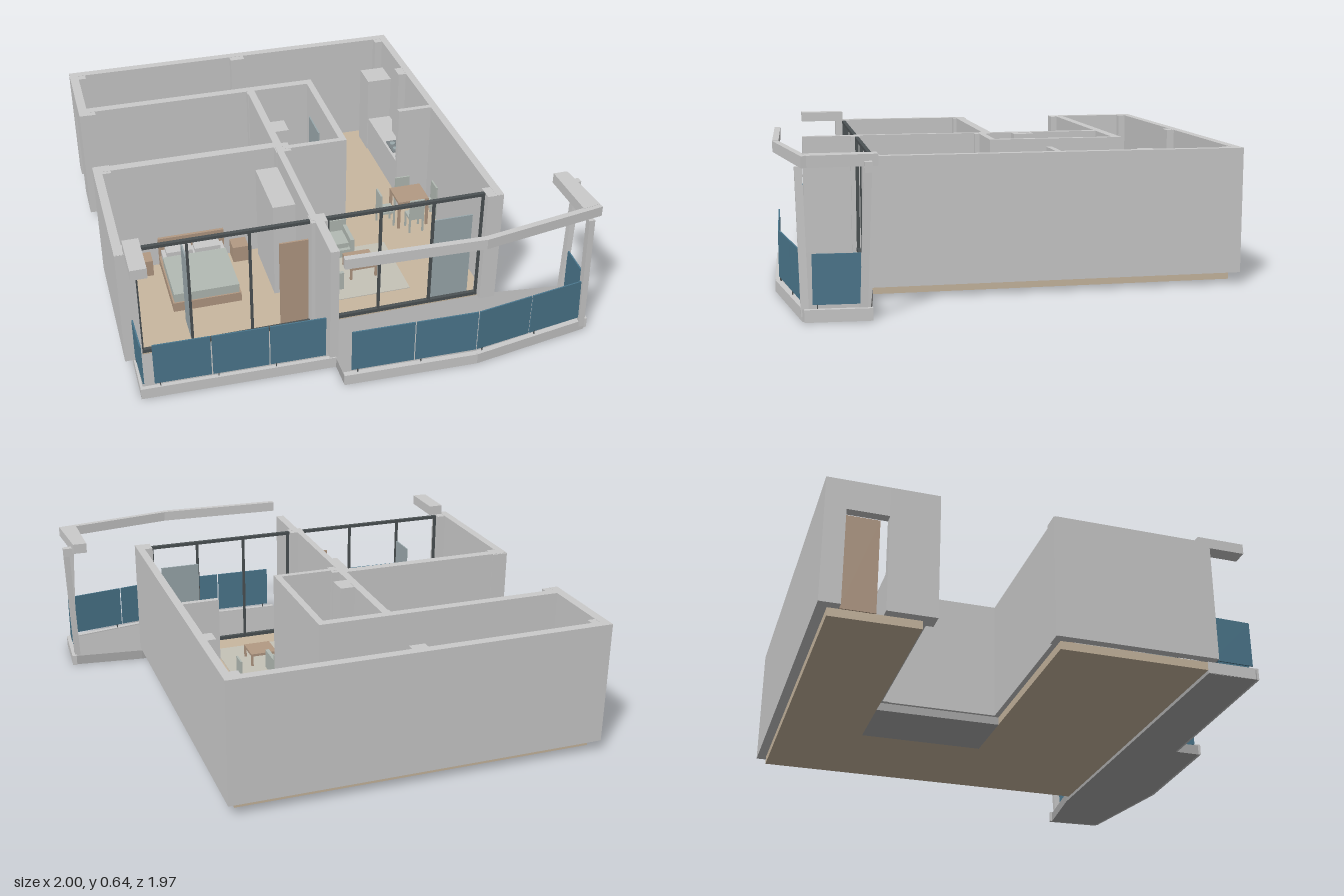
import * as THREE from 'three';

const GREY = 0xcccccc, TAN = 0xc9b8a0, FLOOR_GREY = 0xacacac, BLUE = 0x4c788e;
const DARK = 0x4c5254, WOOD = 0xb39a84, GLASS = 0x9ba9ad, FABRIC = 0xb3bbb4, WHITE = 0xd8d8d6;

const materials = {};
const mat = (color) => (materials[color] ??= new THREE.MeshStandardMaterial({ color, flatShading: true }));
const smooth = new THREE.MeshStandardMaterial({ color: WHITE });

export function createModel() {
  const root = new THREE.Group();
  const group = (name) => {
    const g = new THREE.Group();
    g.name = name;
    root.add(g);
    return g;
  };
  const add = (parent, name, geometry, material) => {
    const mesh = new THREE.Mesh(geometry, material);
    mesh.name = name;
    parent.add(mesh);
    return mesh;
  };
  // box given by its extents along x, z and y
  const box = (parent, name, x0, x1, z0, z1, y0, y1, color = GREY) => {
    const m = add(parent, name, new THREE.BoxGeometry(x1 - x0, y1 - y0, z1 - z0), mat(color));
    m.position.set((x0 + x1) / 2, (y0 + y1) / 2, (z0 + z1) / 2);
    return m;
  };
  // upright strip between two plan points [x, z]
  const strip = (parent, name, a, b, y0, y1, width, color = GREY) => {
    const dx = b[0] - a[0], dz = b[1] - a[1];
    const m = add(parent, name, new THREE.BoxGeometry(Math.hypot(dx, dz), y1 - y0, width), mat(color));
    m.position.set((a[0] + b[0]) / 2, (y0 + y1) / 2, (a[1] + b[1]) / 2);
    m.rotation.y = -Math.atan2(dz, dx);
    return m;
  };
  // horizontal slab from plan points
  const slab = (parent, name, pts, y0, y1, color) => {
    const shape = new THREE.Shape(pts.map(([x, z]) => new THREE.Vector2(x, -z)));
    const geo = new THREE.ExtrudeGeometry(shape, { depth: y1 - y0, bevelEnabled: false });
    geo.rotateX(-Math.PI / 2);
    add(parent, name, geo, mat(color)).position.y = y0;
  };
  const B = 0.05, T = 0.59; // floor level and wall top

  // Floors
  const floor = group('floors');
  box(floor, 'hallFloor', -0.96, 0.62, -0.945, -0.58, 0.015, B, TAN);
  box(floor, 'kitchenFloor', 0.13, 0.62, -0.58, -0.03, 0.015, B, TAN);
  box(floor, 'southFloor', -0.96, 0.62, -0.03, 0.6, 0.015, B, TAN);
  box(floor, 'bathroomFloor', -0.17, 0.13, -0.58, -0.03, 0.015, B, FLOOR_GREY);

  // Walls: x0, x1, z0, z1
  const walls = group('walls');
  for (const w of [
    [-1, 0.655, -0.985, -0.945], [0.62, 0.655, -0.945, 0.63],
    [-1, -0.96, -0.945, -0.9], [-1, -0.96, -0.73, -0.53],
    [-0.96, 0.145, -0.6, -0.56], [-0.185, -0.15, -0.56, -0.05],
    [0.115, 0.145, -0.56, 0.015], [-0.15, 0.115, -0.012, 0.015],
    [-1, -0.15, -0.052, -0.01], [-1, -0.963, -0.01, 0.63],
    [-0.185, -0.155, -0.01, 0.6], [-0.172, -0.135, 0.6, 0.84],
    [0.46, 0.62, -0.195, -0.17],
  ]) box(walls, 'wall', ...w, B, T);
  box(walls, 'entranceLintel', -1, -0.96, -0.9, -0.73, 0.46, T);

  // Corner pillars
  for (const p of [
    [-0.999, -0.925, -0.98, -0.91], [-0.19, -0.12, -0.98, -0.91], [0.582, 0.65, -0.98, -0.91],
    [0.582, 0.65, -0.6, -0.53], [-0.998, -0.925, -0.6, -0.53], [-0.19, -0.15, -0.6, -0.53],
    [-0.998, -0.925, -0.06, 0.008], [-0.19, -0.12, -0.04, 0.035],
    [-0.998, -0.925, 0.56, 0.632], [-0.19, -0.12, 0.56, 0.62], [0.582, 0.654, 0.56, 0.632],
    [-0.15, -0.085, -0.24, -0.145],
  ]) box(walls, 'pillar', ...p, B, T - 0.001);

  // Doors
  const doors = group('doors');
  box(doors, 'entranceDoor', -0.965, -0.957, -0.9, -0.76, B, 0.455, WOOD);
  box(doors, 'balconyDoor', -0.315, -0.185, 0.563, 0.571, B, 0.475, WOOD);
  box(doors, 'bathroomDoor', 0.108, 0.115, -0.5, -0.33, B, 0.44, GLASS);

  // Window frames and glazed leaves
  const windows = group('windows');
  for (const [x0, x1, posts] of [[-0.925, -0.19, [-0.92, -0.705, -0.445]], [-0.12, 0.582, [-0.112, 0.12, 0.355, 0.578]]]) {
    box(windows, 'topRail', x0, x1, 0.583, 0.6, 0.574, 0.588, DARK);
    box(windows, 'bottomRail', x0, x1, 0.583, 0.6, B, 0.066, DARK);
    for (const x of posts) box(windows, 'mullion', x - 0.005, x + 0.005, 0.584, 0.599, B, 0.58, DARK);
  }
  box(windows, 'slidingPane', 0.355, 0.54, 0.576, 0.583, 0.066, 0.475, GLASS);
  box(windows, 'openPane', -0.709, -0.703, 0.45, 0.583, 0.066, 0.475, GLASS);

  // Balcony slabs with raised pale rims
  const balcony = group('balcony');
  const left = [[-0.965, 0.815], [-0.145, 0.837]];
  const right = [[-0.145, 0.955], [0.43, 0.975], [0.965, 0.885]];
  slab(balcony, 'leftBalconyFloor', [[-0.96, 0.6], ...left, [-0.145, 0.6]], 0, 0.044, FLOOR_GREY);
  slab(balcony, 'rightBalconyFloor', [[-0.148, 0.6], ...right, [0.985, 0.64], [0.655, 0.6]], 0, 0.045, FLOOR_GREY);
  strip(balcony, 'rim', left[0], left[1], 0, B, 0.018);
  strip(balcony, 'rim', right[0], right[1], 0.001, B, 0.024);
  strip(balcony, 'rim', right[1], right[2], 0.001, B, 0.024);
  strip(balcony, 'rim', [0.972, 0.89], [0.985, 0.63], 0.001, B, 0.02);
  box(balcony, 'leftCurb', -0.965, -0.955, 0.6, 0.81, 0.001, B);

  // Blue railing panels, split evenly along each edge
  const rail = (a, b, n) => {
    const at = (t) => [a[0] + (b[0] - a[0]) * t, a[1] + (b[1] - a[1]) * t];
    for (let i = 0; i < n; i++) {
      strip(balcony, 'railingPanel', at((i + 0.012) / n), at((i + 0.988) / n), 0.065, 0.262, 0.006, BLUE);
      strip(balcony, 'railingPost', at((i + 0.1) / n), at((i + 0.115) / n), 0.04, 0.07, 0.006, DARK);
    }
  };
  rail([-0.908, 0.815], [-0.185, 0.834], 3);
  rail([-0.115, 0.952], [0.432, 0.968], 2);
  rail([0.432, 0.968], [0.942, 0.888], 2);
  rail([0.963, 0.86], [0.973, 0.67], 1);
  rail([-0.955, 0.625], [-0.95, 0.81], 1);

  // Overhead beams
  const H = 0.636;
  box(balcony, 'leftBeam', -0.962, -0.895, 0.6, 0.81, T, H);
  strip(balcony, 'frontBeam', [-0.15, 0.95], [0.432, 0.972], T, H, 0.026);
  strip(balcony, 'frontBeam', [0.43, 0.972], [0.975, 0.878], T, H - 0.001, 0.026);
  slab(balcony, 'rightBeam', [[0.892, 0.6], [0.895, 0.885], [0.975, 0.87], [0.955, 0.6]], T, H, GREY);
  // Leaning posts: bottom and top points
  for (const [b, t] of [[[0.952, 0.887], [0.924, 0.9]], [[0.965, 0.665], [0.985, 0.642]]]) {
    const geo = new THREE.BoxGeometry(0.026, T - 0.02, 0.03);
    const p = geo.attributes.position;
    for (let i = 0; i < p.count; i++) {
      const end = p.getY(i) > 0 ? t : b;
      p.setX(i, p.getX(i) + end[0]);
      p.setZ(i, p.getZ(i) + end[1]);
    }
    geo.computeVertexNormals();
    add(balcony, 'leaningPost', geo, mat(GREY)).position.y = (T + 0.02) / 2;
  }
  box(balcony, 'postBracket', 0.95, 0.998, 0.625, 0.655, T - 0.02, T + 0.02);

  // Bedroom
  const bedroom = group('bedroom');
  box(bedroom, 'bedBase', -0.747, -0.442, -0.005, 0.372, B + 0.01, 0.105, WOOD);
  box(bedroom, 'headboard', -0.747, -0.442, -0.008, 0.006, B, 0.2, WOOD);
  box(bedroom, 'mattress', -0.737, -0.452, 0.008, 0.36, 0.105, 0.14, WHITE);
  box(bedroom, 'blanket', -0.74, -0.449, 0.078, 0.365, 0.105, 0.147, FABRIC);
  for (const x of [-0.66, -0.53]) box(bedroom, 'pillow', x - 0.06, x + 0.06, 0.013, 0.068, 0.14, 0.16, WHITE);
  for (const x of [-0.822, -0.376]) box(bedroom, 'nightstand', x - 0.037, x + 0.037, -0.008, 0.068, B, 0.13, WOOD);
  box(bedroom, 'wardrobe', -0.287, -0.186, 0.03, 0.35, B, 0.51, WHITE);

  // Living room
  const living = group('livingRoom');
  box(living, 'rug', -0.055, 0.31, 0.105, 0.475, B, 0.053, 0xc6c3b8);
  box(living, 'sofaBase', -0.15, 0.138, 0.018, 0.182, 0.06, 0.1, FABRIC);
  box(living, 'sofaBase', -0.15, 0.018, 0.18, 0.415, 0.06, 0.099, FABRIC);
  box(living, 'sofaBack', -0.15, 0.138, 0.018, 0.05, 0.1, 0.18, FABRIC);
  box(living, 'sofaBack', -0.15, -0.12, 0.05, 0.415, 0.099, 0.18, FABRIC);
  box(living, 'sofaArm', 0.12, 0.138, 0.05, 0.182, 0.1, 0.15, FABRIC);
  box(living, 'sofaArm', -0.12, 0.018, 0.4, 0.415, 0.099, 0.15, FABRIC);
  for (const [x0, z0] of [[-0.108, 0.056], [0.008, 0.056], [-0.118, 0.176], [-0.118, 0.29]])
    box(living, 'sofaCushion', x0, x0 + (z0 < 0.1 ? 0.108 : 0.13), z0, z0 + 0.108, 0.1, 0.125, FABRIC);
  const table = (parent, name, x0, x1, z0, z1, top, leg, color) => {
    box(parent, name + 'Top', x0, x1, z0, z1, top - 0.012, top, color);
    for (const x of [x0, x1 - leg]) for (const z of [z0, z1 - leg])
      box(parent, name + 'Leg', x, x + leg, z, z + leg, B, top - 0.012, color);
  };
  table(living, 'coffeeTable', 0.068, 0.195, 0.222, 0.35, 0.115, 0.01, WOOD);

  // Dining set: seat extents, then backrest extents
  const dining = group('diningSet');
  table(dining, 'diningTable', 0.41, 0.563, -0.122, 0.015, 0.2, 0.012, WOOD);
  for (const [s, b] of [
    [[0.33, 0.405, -0.088, -0.015], [0.33, 0.338, -0.088, -0.015]],
    [[0.545, 0.618, -0.088, -0.015], [0.61, 0.618, -0.088, -0.015]],
    [[0.45, 0.523, -0.16, -0.09], [0.45, 0.523, -0.16, -0.152]],
    [[0.45, 0.523, -0.005, 0.065], [0.45, 0.523, 0.057, 0.065]],
  ]) {
    table(dining, 'chair', ...s, 0.135, 0.008, FABRIC);
    box(dining, 'chairBack', ...b, 0.135, 0.23, FABRIC);
  }

  // Kitchen
  const kitchen = group('kitchen');
  box(kitchen, 'fridge', 0.497, 0.62, -0.885, -0.75, B, 0.45, WHITE);
  box(kitchen, 'counter', 0.503, 0.62, -0.75, -0.21, B, 0.23, WHITE);
  box(kitchen, 'stove', 0.515, 0.61, -0.495, -0.385, 0.23, 0.235, 0x7d8588);
  for (const x of [0.54, 0.586]) for (const z of [-0.465, -0.415]) {
    const ring = add(kitchen, 'burner', new THREE.CylinderGeometry(0.014, 0.014, 0.004, 16), mat(GLASS));
    ring.position.set(x, 0.237, z);
  }
  box(kitchen, 'sinkRim', 0.515, 0.61, -0.35, -0.225, 0.23, 0.234, GLASS);
  for (const z of [-0.315, -0.258]) box(kitchen, 'sinkBasin', 0.523, 0.602, z - 0.024, z + 0.024, 0.23, 0.236, 0x7d8588);

  // Bathroom
  const bath = group('bathroom');
  box(bath, 'vanity', -0.15, -0.058, -0.523, -0.418, B, 0.2, WOOD);
  const oval = (name, x, z, y, rx, rz, h, color) => {
    const m = add(bath, name, new THREE.CylinderGeometry(1, 0.8, h, 24), color ? mat(color) : smooth);
    m.scale.set(rx, 1, rz);
    m.position.set(x, y, z);
  };
  oval('washbasin', -0.104, -0.47, 0.21, 0.035, 0.044, 0.022);
  box(bath, 'cistern', -0.15, -0.12, -0.378, -0.305, B, 0.22, WHITE);
  oval('toiletBowl', -0.068, -0.34, 0.09, 0.044, 0.03, 0.08);
  oval('toiletSeat', -0.066, -0.34, 0.132, 0.028, 0.019, 0.004, 0x8d9698);
  box(bath, 'tubBottom', -0.15, 0.112, -0.145, -0.014, B, 0.07, WHITE);
  for (const z of [-0.145, -0.03]) box(bath, 'tubSide', -0.15, 0.112, z, z + 0.016, 0.07, 0.14, WHITE);
  for (const x of [-0.15, 0.096]) box(bath, 'tubEnd', x, x + 0.016, -0.129, -0.03, 0.07, 0.14, WHITE);

  return root;
}
